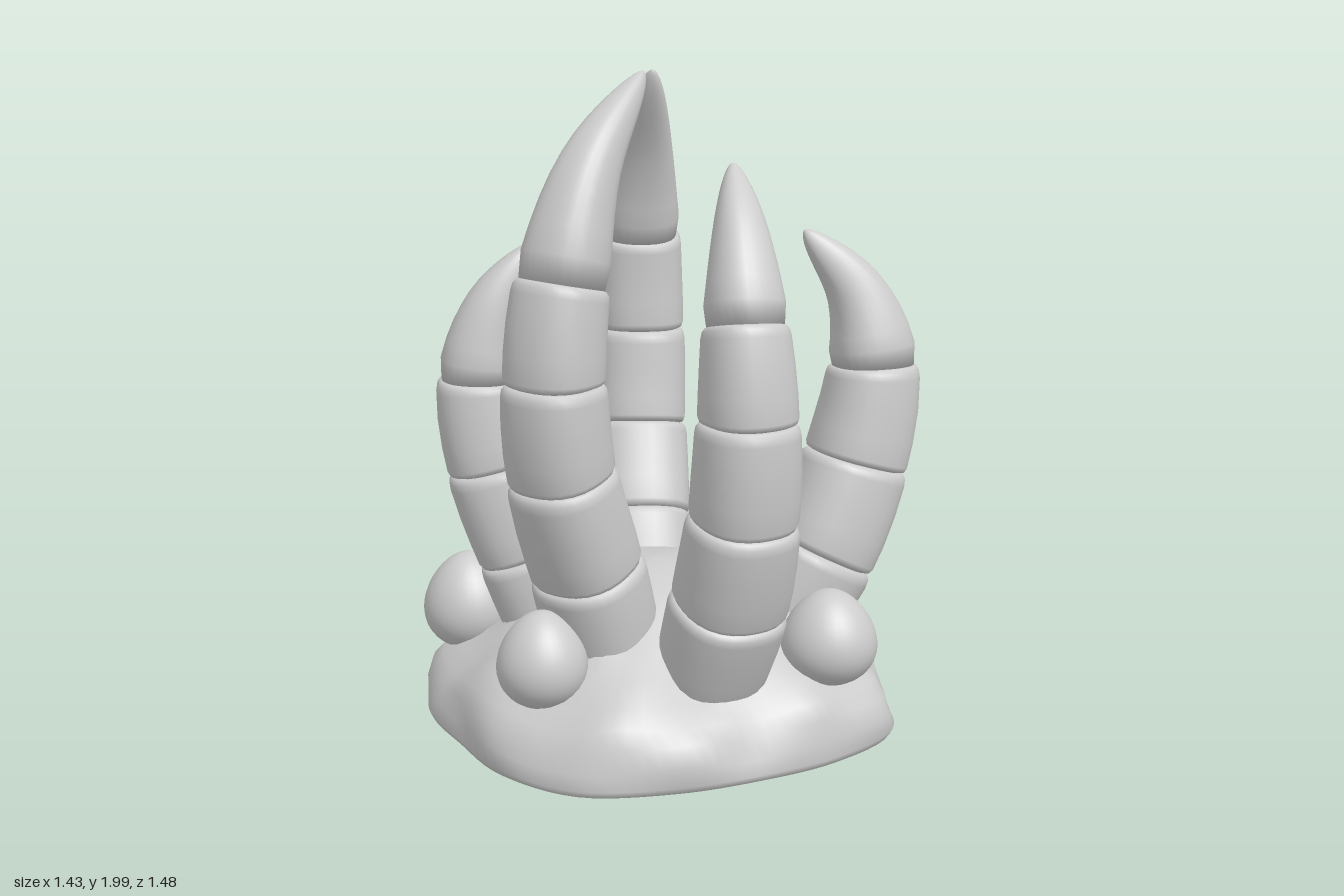
import * as THREE from 'three';

const stone = new THREE.MeshStandardMaterial({ color: 0xcccccc });
stone.name = 'paleGrey';

// Closed skin through rows of rings; place(row, angle) gives each corner
function loft(rows, sides, place) {
  const pos = [], index = [];
  for (let i = 0; i < rows; i++)
    for (let j = 0; j < sides; j++) pos.push(...place(i, (j / sides) * Math.PI * 2).toArray());
  for (let i = 0; i < rows - 1; i++)
    for (let j = 0; j < sides; j++) {
      const k = (j + 1) % sides;
      const a = i * sides + j, b = i * sides + k, c = a + sides, d = b + sides;
      index.push(a, b, c, b, d, c);
    }
  const g = new THREE.BufferGeometry();
  g.setAttribute('position', new THREE.Float32BufferAttribute(pos, 3));
  g.setIndex(index);
  g.computeVertexNormals();
  return g;
}

function add(parent, name, geometry) {
  const m = new THREE.Mesh(geometry, stone);
  m.name = name;
  parent.add(m);
  return m;
}

// Mound: lumpy outline (radius every 22.5 degrees from +z towards +x) and a domed profile
const OUTLINE = [0.70, 0.76, 0.71, 0.70, 0.72, 0.72, 0.72, 0.79, 0.74, 0.72, 0.70, 0.66, 0.70, 0.73, 0.68, 0.66];
const DOME = [[0, 0.01], [0.97, 0.01], [0.985, 0.01], [1, 0.03], [0.995, 0.08], [0.965, 0.14], [0.92, 0.185],
  [0.84, 0.23], [0.74, 0.28], [0.62, 0.34], [0.5, 0.4], [0.35, 0.46], [0.18, 0.495], [0, 0.505]];

function moundGeometry() {
  const outline = new THREE.CatmullRomCurve3(OUTLINE.map((r, i) => {
    const a = (i / OUTLINE.length) * Math.PI * 2;
    return new THREE.Vector3(r * Math.sin(a), 0, r * Math.cos(a));
  }), true);
  return loft(DOME.length, 96, (i, a) => {
    const [f, y] = DOME[i];
    const p = outline.getPoint((a / (Math.PI * 2)) % 1);
    const edge = f > 0.6 && y > 0.05 ? 1 : 0;
    const lump = edge * (0.012 * Math.sin(7 * a + 9 * y) + 0.008 * Math.sin(13 * a - 20 * y));
    return p.multiplyScalar(f + lump).setY(y + lump * 0.8);
  });
}

// Fingers: [x, y, z, radius] at each joint; `joints` is where the claw begins
const FINGERS = [
  { name: 'rightFinger', joints: 5, path: [[-0.29, 0.3, 0.06, 0.16], [-0.38, 0.57, 0.065, 0.16], [-0.49, 0.87, 0.07, 0.15],
    [-0.53, 1.15, 0.08, 0.14], [-0.5, 1.43, 0.085, 0.128], [-0.39, 1.74, 0.09, 0], [-0.15, 2.0, 0.09, 0]] },
  { name: 'backLeftFinger', joints: 5, path: [[0.25, 0.28, -0.25, 0.16], [0.34, 0.5, -0.34, 0.165], [0.44, 0.78, -0.43, 0.155],
    [0.475, 1.1, -0.455, 0.145], [0.465, 1.42, -0.45, 0.135], [0.385, 1.7, -0.36, 0], [0.23, 1.97, -0.195, 0]] },
  { name: 'frontLeftFinger', joints: 4, path: [[0.28, 0.26, 0.26, 0.16], [0.39, 0.5, 0.35, 0.17], [0.5, 0.78, 0.4, 0.16],
    [0.55, 1.08, 0.425, 0.135], [0.52, 1.3, 0.38, 0], [0.4, 1.5, 0.265, 0]] },
  { name: 'frontRightFinger', joints: 5, path: [[-0.17, 0.24, 0.35, 0.155], [-0.2, 0.5, 0.45, 0.165], [-0.235, 0.77, 0.525, 0.152],
    [-0.25, 1.06, 0.55, 0.138], [-0.24, 1.33, 0.53, 0.115], [-0.175, 1.56, 0.46, 0], [-0.07, 1.75, 0.35, 0]] },
  { name: 'backRightFinger', joints: 4, path: [[-0.19, 0.28, -0.25, 0.14], [-0.25, 0.52, -0.31, 0.145], [-0.32, 0.8, -0.375, 0.138],
    [-0.35, 1.07, -0.4, 0.12], [-0.325, 1.29, -0.36, 0], [-0.24, 1.48, -0.275, 0]] },
];

// Along one segment: [position, radius factor], with a pinched and rounded rim at both ends
const SEGMENT = [[0, 0], [0, 0.86], [0.02, 0.95], [0.07, 0.99], [0.3, 1.01], [0.6, 1.02], [0.88, 1.02],
  [0.95, 1], [0.99, 0.94], [1, 0.86], [1, 0]];
const CLAW_ROWS = 18;

function buildFinger({ name, joints, path }) {
  const group = new THREE.Group();
  group.name = name;
  const curve = new THREE.CatmullRomCurve3(path.map(p => new THREE.Vector3(p[0], p[1], p[2])));
  const last = path.length - 1;
  const out = new THREE.Vector3(path[2][0] - path[0][0], 0, path[2][2] - path[0][2]).normalize();
  const side = new THREE.Vector3(0, 1, 0).cross(out);

  // Point on a softly squared ring around the finger's path
  const ring = (u, r, a) => {
    const t = curve.getTangent(u / last);
    const b = side.clone().addScaledVector(t, -side.dot(t)).normalize();
    const n = b.clone().cross(t);
    const c = Math.cos(a), s = Math.sin(a);
    const k = r / Math.pow(Math.abs(c) ** 2.4 + Math.abs(s) ** 2.4, 1 / 2.4);
    return curve.getPoint(u / last).addScaledVector(n, k * c).addScaledVector(b, k * s);
  };

  for (let i = 0; i < joints - 1; i++) {
    add(group, 'fingerSegment', loft(SEGMENT.length, 28, (row, a) => {
      const [s, f] = SEGMENT[row];
      return ring(i + s, f * THREE.MathUtils.lerp(path[i][3], path[i + 1][3], s), a);
    }));
  }

  // Claw: full at its root, tapering to a rounded point
  const start = joints - 1, root = path[start][3];
  add(group, 'claw', loft(CLAW_ROWS, 28, (row, a) => {
    if (row === 0) return ring(start, 0, a);
    const v = (row - 1) / (CLAW_ROWS - 2), s = 1 - (1 - v) ** 2;
    const rim = row === 1 ? 0.9 : 1.02;
    return ring(start + s * (last - start), root * rim * (1 - s) ** 0.58, a);
  }));
  return group;
}

// Eggs: [x, bottom, z, radius, height]
const EGGS = [[0.12, 0.2, 0.58, 0.142, 0.29], [0.565, 0.2, 0.02, 0.134, 0.33], [0.143, 0.18, -0.61, 0.142, 0.3],
  [-0.295, 0.18, -0.51, 0.14, 0.31], [-0.55, 0.19, 0.04, 0.132, 0.29]];

function eggGeometry() {
  const profile = [];
  for (let i = 0; i <= 20; i++) {
    const a = (i / 20) * Math.PI, y = -Math.cos(a);
    profile.push(new THREE.Vector2(Math.sin(a) * (1 - 0.17 * y - 0.03 * y * y), (y + 1) / 2));
  }
  return new THREE.LatheGeometry(profile, 32);
}

export function createModel() {
  const model = new THREE.Group();
  model.name = 'clawedNest';
  add(model, 'mound', moundGeometry());
  FINGERS.forEach(f => model.add(buildFinger(f)));
  const egg = eggGeometry();
  EGGS.forEach(([x, y, z, r, h]) => {
    const m = add(model, 'egg', egg);
    m.position.set(x, y, z);
    m.scale.set(r, h, r);
  });
  return model;
}
